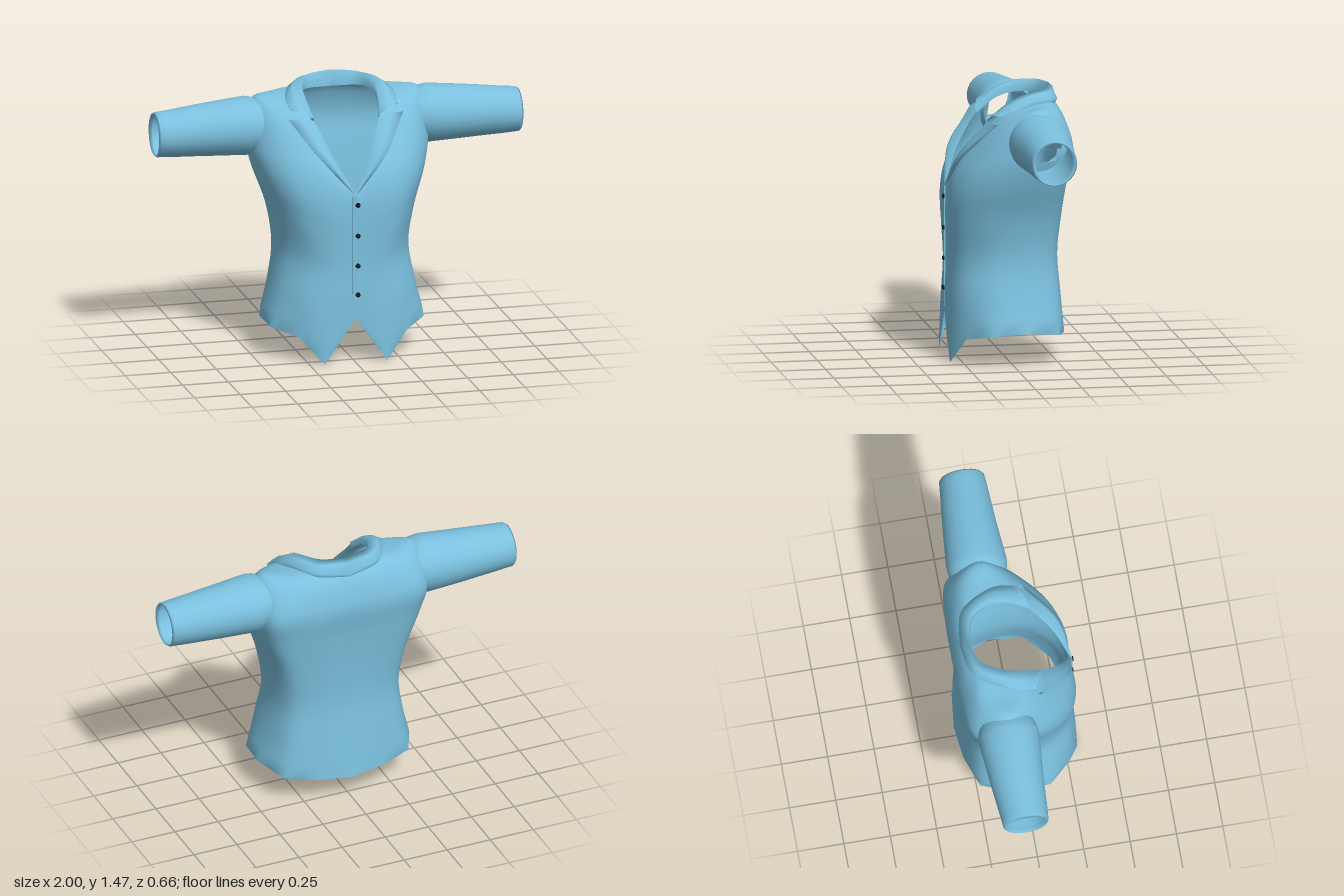
import * as THREE from 'three';
import { mergeVertices } from 'three/addons/utils/BufferGeometryUtils.js';

const V = (p) => new THREE.Vector3(...p);
const flip = (p) => new THREE.Vector3(-p.x, p.y, p.z);
const mirrored = (row) => row.map(flip).reverse();

// Smooth line through a few points, sampled evenly between them
function smooth(points, steps) {
  return new THREE.CatmullRomCurve3(points, false, 'centripetal').getPoints(steps);
}

// Skin over rows of points; quads for which skip() is true are left open
function skin(rows, skip = () => false) {
  const n = rows[0].length;
  const index = [];
  for (let j = 0; j < rows.length - 1; j++) {
    for (let i = 0; i < n - 1; i++) {
      if (skip(rows[j][i].clone().add(rows[j + 1][i + 1]).multiplyScalar(0.5))) continue;
      const a = j * n + i, b = a + 1, c = a + n, d = c + 1;
      index.push(a, b, d, a, d, c);
    }
  }
  let geo = new THREE.BufferGeometry().setFromPoints(rows.flat());
  geo.setIndex(index);
  geo = mergeVertices(geo, 1e-4);
  geo.computeVertexNormals();
  return geo;
}

// Body lines from hem to neckline, going from front centre to back centre
const frontLines = [
  [[0, .25, .315], [0, .38, .315], [0, .52, .31], [0, .66, .31], [0, .76, .312], [0, .83, .312], [0, .88, .31], [0, .91, .308], [0, .935, .305]],
  [[.17, .005, .315], [.17, .3, .305], [.15, .52, .295], [.16, .72, .305], [.17, .87, .31], [.16, .97, .3], [.14, 1.04, .28], [.12, 1.08, .25], [.1, 1.11, .23]],
  [[.3, .15, .25], [.28, .36, .25], [.25, .56, .24], [.28, .77, .25], [.32, .95, .24], [.32, 1.07, .215], [.28, 1.18, .175], [.23, 1.25, .14], [.185, 1.28, .11]],
  [[.42, .18, .13], [.375, .38, .12], [.34, .58, .11], [.37, .8, .12], [.43, 1, .1], [.45, 1.15, .06], [.4, 1.32, .03], [.3, 1.36, .02], [.2, 1.36, 0]],
];
const backLines = [
  [[.435, .195, -.06], [.385, .38, -.08], [.36, .58, -.08], [.39, .8, -.09], [.47, 1.03, -.1], [.5, 1.2, -.11], [.45, 1.39, -.11], [.32, 1.39, -.1], [.19, 1.4, -.1]],
  [[.36, .17, -.24], [.32, .38, -.23], [.3, .58, -.22], [.33, .8, -.24], [.41, 1.03, -.26], [.44, 1.2, -.285], [.38, 1.35, -.24], [.26, 1.4, -.21], [.15, 1.4, -.19]],
  [[.18, .15, -.3], [.17, .38, -.28], [.16, .58, -.265], [.17, .8, -.28], [.22, 1.03, -.305], [.23, 1.2, -.325], [.2, 1.33, -.29], [.14, 1.385, -.25], [.1, 1.39, -.23]],
  [[0, .135, -.32], [0, .38, -.29], [0, .58, -.27], [0, .8, -.28], [0, 1.03, -.305], [0, 1.2, -.33], [0, 1.33, -.3], [0, 1.38, -.27], [0, 1.385, -.255]],
];

function torsoGeometry() {
  const lines = [...frontLines, ...backLines].map((l) => smooth(l.map(V), 40));
  const across = 6 * (lines.length - 1);
  const rows = lines[0].map((_, j) => {
    const ring = lines.map((l) => l[j]);
    let half = smooth(ring, across);
    // The hem keeps its straight cut and sharp points
    if (j === 0) {
      half = half.map((_, i) => {
        const k = Math.min(Math.floor(i / 6), ring.length - 2);
        return ring[k].clone().lerp(ring[k + 1], i / 6 - k);
      });
    }
    return [...mirrored(half), ...half.slice(1)];
  });
  // Armholes stay open under the sleeves
  return skin(rows, (p) => Math.abs(p.x) > .42 && Math.hypot(p.y - 1.235, p.z + .11) < .115);
}

function sleeveGeometry(side) {
  // x, centre y, centre z, radius y, radius z
  const rings = [
    [.4, 1.235, -.11, .13, .14], [.46, 1.235, -.11, .15, .158], [.5, 1.235, -.11, .157, .163],
    [.6, 1.232, -.11, .15, .155], [.7, 1.229, -.11, .143, .146], [.8, 1.226, -.108, .135, .138],
    [.9, 1.222, -.105, .127, .13], [.96, 1.221, -.104, .122, .125], [.99, 1.22, -.104, .12, .122],
    [1, 1.22, -.104, .114, .112], [.985, 1.22, -.104, .112, .1],
  ];
  return skin(rings.map(([x, y, z, ry, rz]) => Array.from({ length: 25 }, (_, i) => {
    const a = side * i / 24 * Math.PI * 2;
    return V([side * x, y + ry * Math.cos(a), z + rz * Math.sin(a)]);
  })));
}

// Turned-down collar: outer edge, fold, inner edge
function collarGeometry() {
  const edges = [
    [[.285, 1.33, .05], [.29, 1.36, -.02], [.265, 1.39, -.11], [.18, 1.39, -.24], [0, 1.37, -.28]],
    [[.295, 1.35, .07], [.3, 1.385, -.02], [.27, 1.42, -.11], [.18, 1.415, -.25], [0, 1.385, -.288]],
    [[.24, 1.345, .1], [.255, 1.41, -.01], [.235, 1.445, -.11], [.16, 1.45, -.225], [0, 1.45, -.268]],
    [[.18, 1.31, .12], [.2, 1.41, 0], [.19, 1.45, -.1], [.13, 1.465, -.2], [0, 1.47, -.245]],
    [[.18, 1.28, .11], [.195, 1.36, 0], [.185, 1.39, -.1], [.145, 1.39, -.185], [0, 1.38, -.24]],
  ];
  return skin(edges.map((e) => {
    const half = smooth(e.map(V), 20);
    return [...half, ...mirrored(half).slice(1)];
  }));
}

// Lapel: tucked outer edge, outer edge, middle, roll line
function lapelGeometry(side) {
  const edges = [
    [[.012, .945, .3], [.175, 1.12, .24], [.31, 1.305, .06]],
    [[.015, .94, .312], [.175, 1.12, .265], [.315, 1.31, .1]],
    [[.008, .94, .316], [.135, 1.12, .268], [.25, 1.315, .13]],
    [[0, .935, .308], [.095, 1.11, .235], [.18, 1.3, .115]],
  ];
  return skin(edges.map((e) => {
    const row = smooth(e.map(V), 14);
    return side > 0 ? row : mirrored(row);
  }));
}

export function createModel() {
  const cloth = new THREE.MeshStandardMaterial({ color: 0x7bc0de, side: THREE.DoubleSide });
  cloth.name = 'blue cloth';
  const dark = new THREE.MeshStandardMaterial({ color: 0x14181c });
  dark.name = 'black button';

  const group = new THREE.Group();
  group.name = 'jacket';
  const add = (name, geo, mat = cloth) => {
    const mesh = new THREE.Mesh(geo, mat);
    mesh.name = name;
    group.add(mesh);
    return mesh;
  };

  add('body', torsoGeometry());
  add('collar', collarGeometry());
  for (const [side, word] of [[1, 'left'], [-1, 'right']]) {
    add(word + 'Sleeve', sleeveGeometry(side));
    add(word + 'Lapel', lapelGeometry(side));
  }

  // Overlapping front edge
  add('placket', new THREE.BoxGeometry(.03, .65, .008)).position.set(-.005, .6, .314);

  // Buttons down the front
  [.875, .705, .54, .38].forEach((y, i) => {
    const geo = new THREE.CylinderGeometry(.013, .013, .009, 10).rotateX(Math.PI / 2);
    add('button' + (i + 1), geo, dark).position.set(.01, y, .322);
  });
  return group;
}
